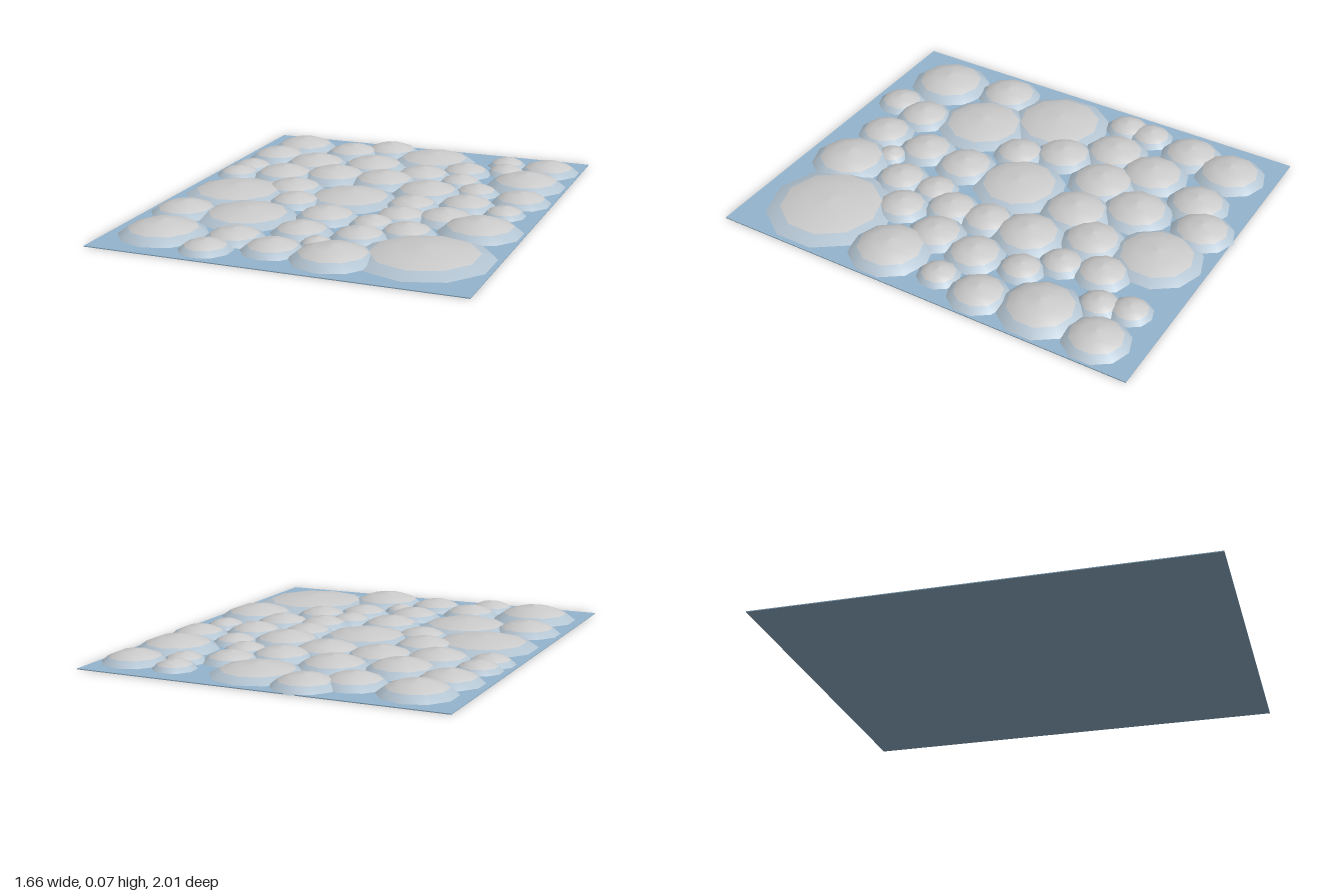
import * as THREE from 'three';

const SIDES = 10;

// Dome centres and radii: x, z, radius
const DOMES = [
  [-0.61, -0.79, 0.17], [-0.33, -0.76, 0.15], [-0.16, -0.86, 0.15], [0.10, -0.77, 0.21],
  [0.46, -0.83, 0.10], [0.68, -0.79, 0.15], [0.49, -0.70, 0.10], [0.31, -0.62, 0.13],
  [-0.66, -0.57, 0.15], [-0.42, -0.49, 0.17], [-0.14, -0.55, 0.17], [0.14, -0.48, 0.15],
  [0.34, -0.44, 0.11], [0.64, -0.51, 0.19], [-0.70, -0.34, 0.11], [-0.71, -0.21, 0.11],
  [-0.49, -0.26, 0.16], [-0.25, -0.32, 0.17], [0.00, -0.32, 0.17], [0.25, -0.22, 0.17],
  [0.46, -0.31, 0.11], [0.69, -0.24, 0.14], [-0.35, -0.06, 0.15], [-0.57, 0.09, 0.25],
  [-0.04, 0.00, 0.22], [0.25, -0.01, 0.13], [0.48, -0.09, 0.14], [0.67, -0.03, 0.10],
  [-0.26, 0.13, 0.13], [0.26, 0.17, 0.13], [0.45, 0.13, 0.14], [0.64, 0.24, 0.19],
  [-0.04, 0.29, 0.15], [0.18, 0.31, 0.11], [0.36, 0.37, 0.13], [-0.66, 0.43, 0.16],
  [-0.37, 0.40, 0.23], [-0.06, 0.52, 0.14], [0.19, 0.49, 0.13], [0.53, 0.64, 0.30],
  [0.06, 0.64, 0.08], [-0.60, 0.74, 0.20], [-0.29, 0.69, 0.14], [-0.34, 0.86, 0.12],
  [-0.08, 0.77, 0.14], [0.19, 0.78, 0.19],
];

// Medium stones rise with their radius, the widest ones are flatter
const domeHeight = (r) => (r > 0.2 ? 0.055 : 0.02 + 0.25 * r);

// Keep only the faces of a unit dome lying below or above a level, with shared smooth normals
function domeBand(dome, keep) {
  const pos = dome.attributes.position;
  const index = dome.index.array;
  const faces = [];
  for (let i = 0; i < index.length; i += 3) {
    const tri = [index[i], index[i + 1], index[i + 2]];
    const low = Math.min(...tri.map((v) => pos.getY(v)));
    if (keep(low)) faces.push(...tri);
  }
  const band = dome.clone();
  band.setIndex(faces);
  return band;
}

export function createModel() {
  const group = new THREE.Group();
  const blue = new THREE.MeshStandardMaterial({ color: 0x94b5ce });
  const paleBlue = new THREE.MeshStandardMaterial({ color: 0xb3c4d1 });
  const grey = new THREE.MeshStandardMaterial({ color: 0xcccccc });

  // Thin ground sheet
  const ground = new THREE.Mesh(new THREE.BoxGeometry(1.66, 0.004, 2), blue);
  ground.name = 'ground';
  ground.position.y = 0.002;
  group.add(ground);

  // Unit dome, split into a tinted skirt and a grey crown
  const profile = [[1, 0], [0.76, 0.5], [0.42, 0.85], [0, 1]].map(([x, y]) => new THREE.Vector2(x, y));
  const dome = new THREE.LatheGeometry(profile, SIDES);
  const skirtGeometry = domeBand(dome, (y) => y < 0.2);
  const crownGeometry = domeBand(dome, (y) => y >= 0.2);

  // Overlapping cobblestones
  DOMES.forEach(([x, z, r], i) => {
    const stone = new THREE.Group();
    stone.name = `stone${i + 1}`;
    const skirt = new THREE.Mesh(skirtGeometry, paleBlue);
    skirt.name = 'skirt';
    const crown = new THREE.Mesh(crownGeometry, grey);
    crown.name = 'crown';
    stone.add(skirt, crown);
    stone.position.set(x, 0.001, z);
    stone.scale.set(r, domeHeight(r), r);
    group.add(stone);
  });

  return group;
}
